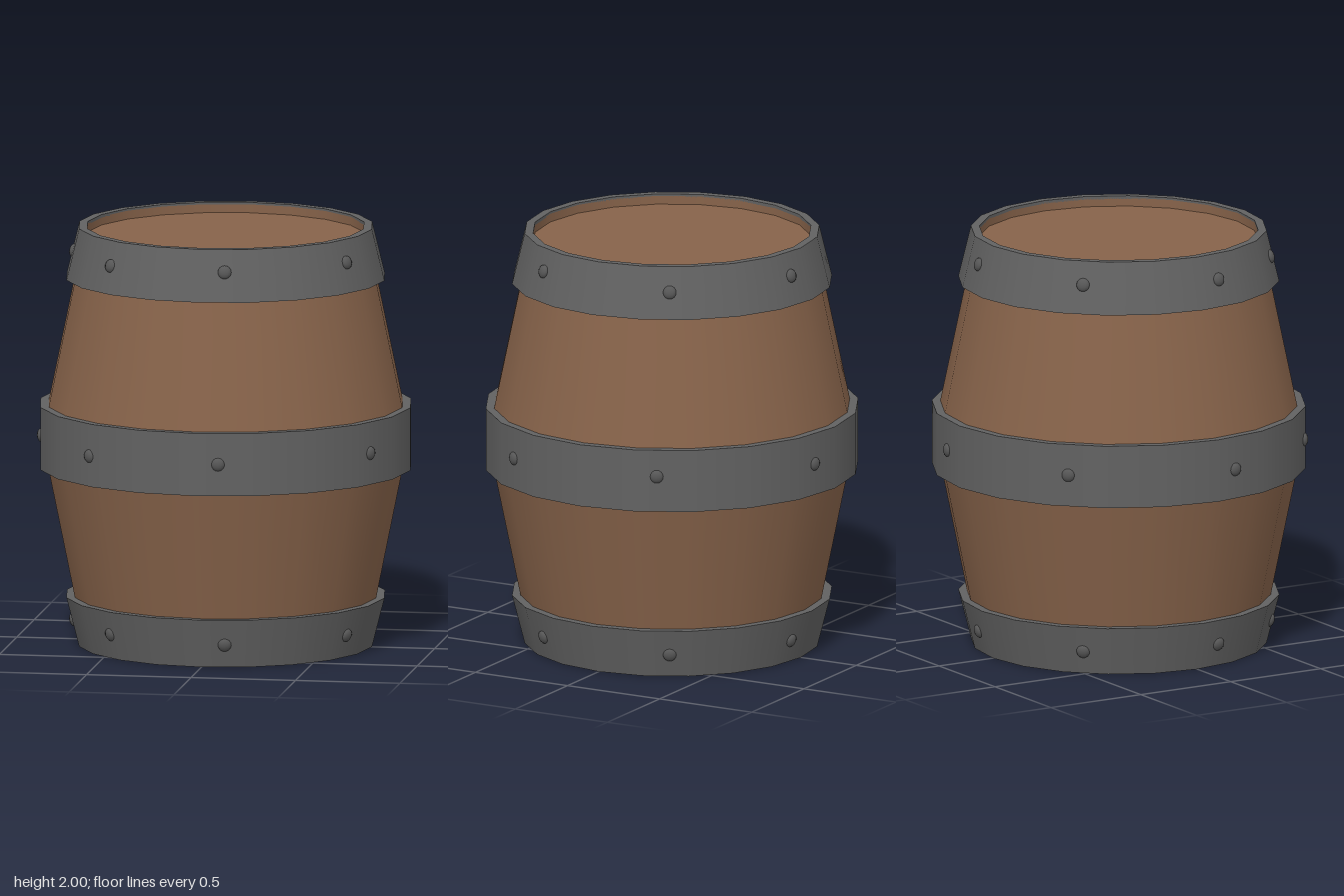
import * as THREE from 'three';
import { mergeGeometries } from 'three/addons/utils/BufferGeometryUtils.js';

const SIDES = 20;

// Revolves each profile segment on its own: smooth around, sharp between segments.
function revolve(profile) {
  const parts = [];
  for (let i = 0; i < profile.length - 1; i++) {
    const pair = [profile[i], profile[i + 1]].map(([r, y]) => new THREE.Vector2(r, y));
    parts.push(new THREE.LatheGeometry(pair, SIDES));
  }
  return mergeGeometries(parts);
}

export function createModel() {
  const group = new THREE.Group();
  const material = (name, color) => {
    const m = new THREE.MeshStandardMaterial({ color });
    m.name = name;
    return m;
  };
  const wood = material('wood', 0x87634a);
  const iron = material('iron', 0x626262);
  const rivetIron = material('rivet iron', 0x575757);

  const add = (name, geometry, mat) => {
    const mesh = new THREE.Mesh(geometry, mat);
    mesh.name = name;
    group.add(mesh);
    return mesh;
  };

  // Bulging staves, with the inside of the rim above the lid
  add('staves', revolve([
    [0.68, 0.01], [0.72, 0.235], [0.845, 0.85], [0.845, 1.15],
    [0.72, 1.75], [0.68, 1.99], [0.66, 1.99], [0.66, 1.95],
  ]), wood);

  // Flat ends
  const lid = add('lid', new THREE.CircleGeometry(0.66, SIDES), wood);
  lid.rotation.x = -Math.PI / 2;
  lid.position.y = 1.95;
  const base = add('base', new THREE.CircleGeometry(0.685, SIDES), wood);
  base.rotation.x = Math.PI / 2;
  base.position.y = 0.004;

  // Hoops
  add('bottomHoop', revolve([[0.68, 0], [0.70, 0], [0.76, 0.235], [0.715, 0.235]]), iron);
  add('middleHoop', revolve([[0.84, 0.85], [0.885, 0.85], [0.885, 1.15], [0.84, 1.15]]), iron);
  add('topHoop', revolve([[0.715, 1.755], [0.76, 1.755], [0.70, 2], [0.66, 2], [0.66, 1.985]]), iron);

  // Rivets: seven per hoop, unevenly spaced by hand; angles run from +x towards +z
  const endAngles = [28, 81, 129.4, 171, 225.5, 279, 331.3];
  const middleAngles = [29.2, 83, 127.6, 172.8, 227.8, 279.9, 335.2];
  const rivetGeometry = new THREE.SphereGeometry(0.032, 12, 8);
  rivetGeometry.scale(1, 1, 0.6);
  const addRivets = (name, angles, heights, radius, slope) => {
    const set = new THREE.Group();
    set.name = name;
    angles.forEach((deg, i) => {
      const a = THREE.MathUtils.degToRad(deg);
      const step = Math.PI * 2 / SIDES;
      const fromMiddle = (a % step) - step / 2;
      const r = radius * Math.cos(step / 2) / Math.cos(fromMiddle);
      const rivet = new THREE.Mesh(rivetGeometry, rivetIron);
      rivet.name = 'rivet';
      rivet.rotation.order = 'YXZ';
      rivet.rotation.set(slope, Math.PI / 2 - a, 0);
      rivet.position.set(Math.cos(a) * r, heights[i], Math.sin(a) * r);
      set.add(rivet);
    });
    group.add(set);
  };
  addRivets('bottomRivets', endAngles, [0.11, 0.11, 0.12, 0.11, 0.11, 0.11, 0.11], 0.728, 0.25);
  addRivets('middleRivets', middleAngles, [1, 1, 0.995, 0.99, 1, 1, 1.02], 0.883, 0);
  addRivets('topRivets', endAngles, [1.895, 1.895, 1.885, 1.88, 1.89, 1.89, 1.88], 0.728, -0.25);

  return group;
}
